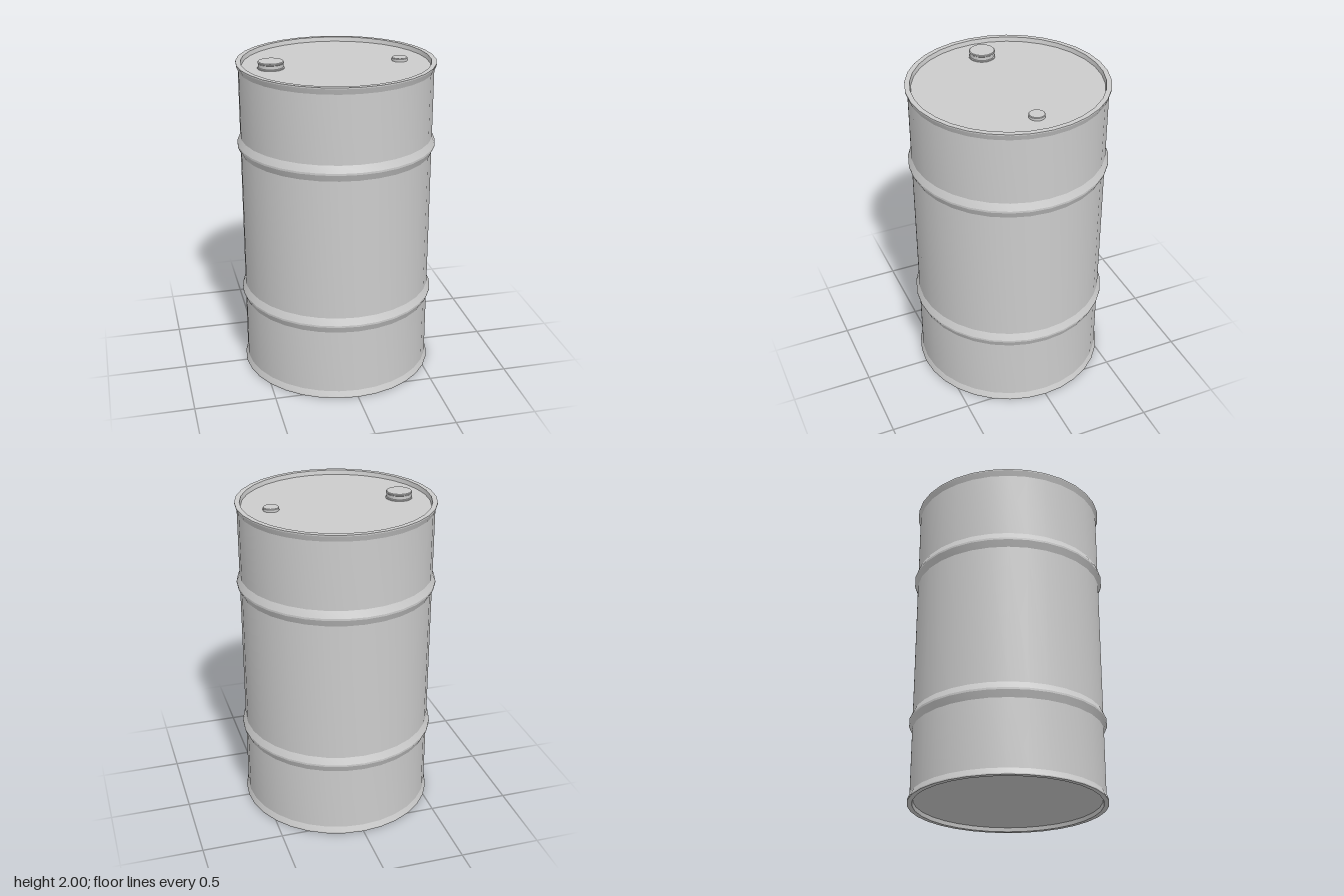
import * as THREE from 'three';
import { toCreasedNormals } from 'three/addons/utils/BufferGeometryUtils.js';

const material = new THREE.MeshStandardMaterial({ color: 0xcccccc });

// Revolves [radius, height] pairs, listed bottom to top, around the y axis
function revolve(name, profile, segments) {
  const points = profile.map(([r, y]) => new THREE.Vector2(r, y));
  const geometry = toCreasedNormals(new THREE.LatheGeometry(points, segments), 0.3);
  const mesh = new THREE.Mesh(geometry, material);
  mesh.name = name;
  return mesh;
}

export function createModel() {
  const group = new THREE.Group();
  group.name = 'steelDrum';

  const wall = 0.587, lidY = 1.957, baseY = 0.025;
  // Rolling hoop: a ridge pushed out of the wall
  const hoop = (y) => [[wall, y - 0.048], [0.606, y - 0.006], [0.606, y + 0.006], [wall, y + 0.048]];

  // Wall with hoops and chimes at both ends
  group.add(revolve('drumBody', [
    [0.565, baseY], [0.57, 0], [0.6, 0], [0.6, 0.008], [wall, 0.042],
    ...hoop(0.504), ...hoop(1.48),
    [wall, 1.942], [0.6, 1.976], [0.6, 1.984], [0.57, 1.984], [0.565, lidY],
  ], 32));

  // Recessed end plates
  group.add(revolve('bottomPlate', [[0, baseY], [0.565, baseY]], 32));
  group.add(revolve('lid', [[0.565, lidY], [0, lidY]], 32));

  // Filler cap with a small flange and lip
  const fillerCap = revolve('fillerCap', [
    [0.08, 0], [0.08, 0.006], [0.075, 0.009], [0.075, 0.03], [0.078, 0.033], [0.078, 0.039], [0.074, 0.043], [0, 0.043],
  ], 32);
  fillerCap.position.set(-0.395, lidY, 0);

  // Low vent cap
  const ventCap = revolve('ventCap', [[0.048, 0], [0.048, 0.016], [0.045, 0.02], [0, 0.02]], 24);
  ventCap.position.set(0.395, lidY, 0);

  group.add(fillerCap, ventCap);
  return group;
}
